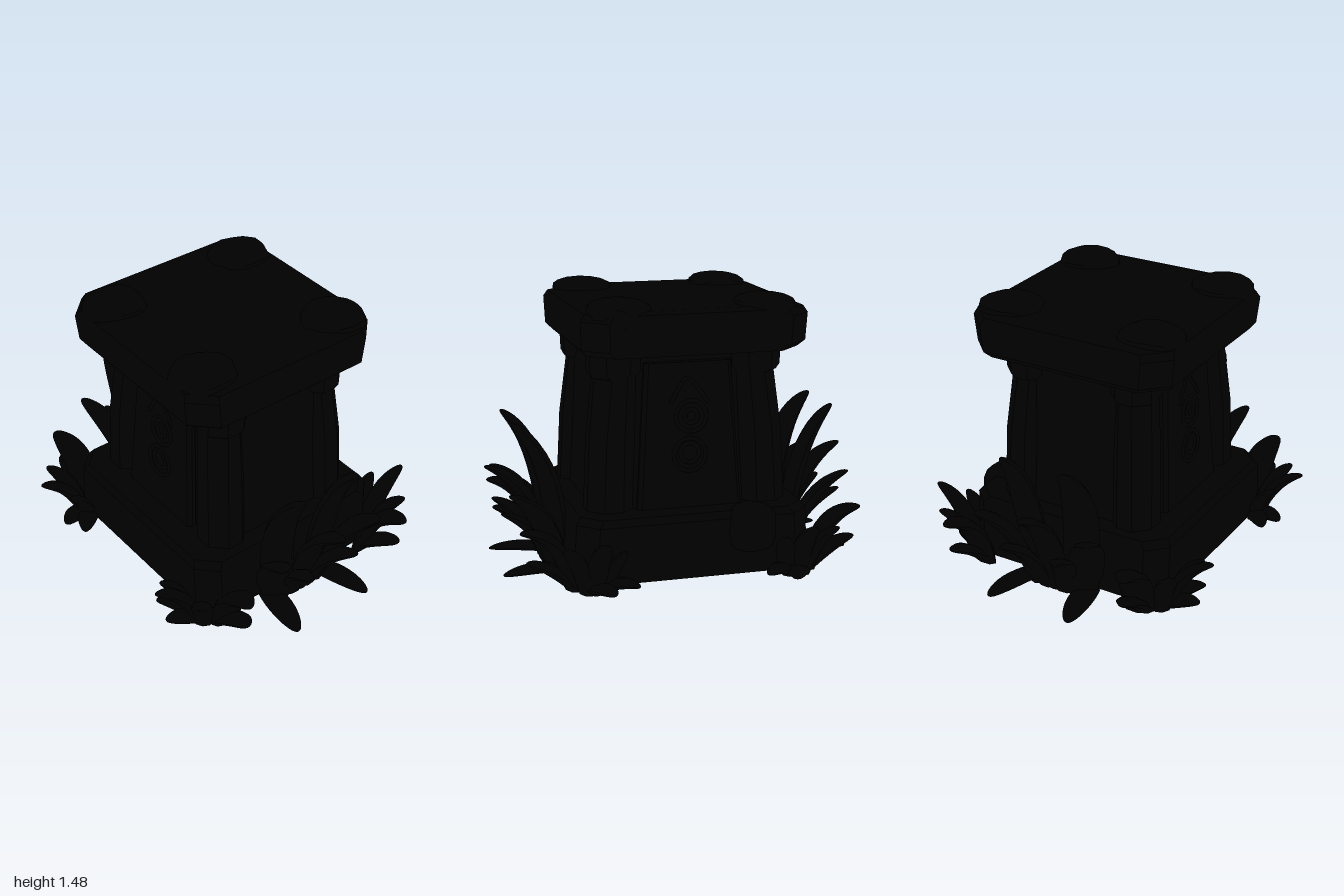
import * as THREE from 'three';
import { toCreasedNormals } from 'three/addons/utils/BufferGeometryUtils.js';

const stone = new THREE.MeshStandardMaterial({ color: 0x000000 });
stone.name = 'black stone';
const leaf = new THREE.MeshStandardMaterial({ color: 0x000000 });
leaf.name = 'black leaf';

// Closed skin over rings of points that run counterclockwise around the axis
function loft(rings, crease = 0.6) {
  const n = rings[0].length, pos = [], idx = [];
  rings.forEach(r => r.forEach(p => pos.push(p.x, p.y, p.z)));
  for (let i = 0; i < rings.length - 1; i++)
    for (let j = 0; j < n; j++) {
      const a = i * n + j, b = i * n + (j + 1) % n;
      idx.push(a, b, b + n, a, b + n, a + n);
    }
  const last = (rings.length - 1) * n;
  for (let j = 1; j < n - 1; j++) idx.push(0, j + 1, j, last, last + j, last + j + 1);
  const g = new THREE.BufferGeometry();
  g.setAttribute('position', new THREE.Float32BufferAttribute(pos, 3));
  g.setIndex(idx);
  return toCreasedNormals(g, crease);
}

// Block with cut corners; each level is [y, halfX, halfZ, centreX, centreZ]
function block(levels, cut) {
  return loft(levels.map(([y, hx, hz, cx = 0, cz = 0]) => {
    const corners = [[hx, cut - hz], [hx - cut, -hz], [cut - hx, -hz], [-hx, cut - hz],
      [-hx, hz - cut], [cut - hx, hz], [hx - cut, hz], [hx, hz - cut]];
    return corners.map(([x, z]) => new THREE.Vector3(cx + x, y, cz + z));
  }));
}

// Lumpy flat-topped rock with the given half sizes
function rock(hx, hy, hz, seed) {
  const g = new THREE.IcosahedronGeometry(1, 2), p = g.attributes.position;
  const v = new THREE.Vector3();
  for (let i = 0; i < p.count; i++) {
    v.fromBufferAttribute(p, i);
    const k = 1 + 0.07 * Math.sin(4 * v.x + seed) * Math.cos(3 * v.z - seed);
    p.setXYZ(i, v.x * hx * k, Math.sign(v.y) * Math.sqrt(Math.abs(v.y)) * hy, v.z * hz * k);
  }
  return toCreasedNormals(g, 0.6);
}

// Curved blunt leaf from base to tip, with a lens-shaped section
function blade(base, bend, tip, width, thick) {
  const curve = new THREE.QuadraticBezierCurve3(...[base, bend, tip].map(a => new THREE.Vector3(...a)));
  const side = new THREE.Vector3(tip[2] - base[2], 0, base[0] - tip[0]).normalize();
  const rings = [];
  for (let i = 0; i <= 14; i++) {
    const t = 1 - Math.pow(1 - i / 14, 2), p = curve.getPoint(t), along = curve.getTangent(t);
    const normal = along.clone().cross(side).normalize();
    const s = 0.02 + 0.98 * Math.pow(Math.max(0, Math.sin(Math.PI * (0.27 + 0.73 * t))), 0.5);
    const ring = [];
    for (let j = 0; j < 8; j++) {
      const a = j * Math.PI / 4;
      ring.push(p.clone()
        .addScaledVector(side, Math.cos(a) * width * s / 2)
        .addScaledVector(normal, Math.sin(a) * thick * s / 2));
    }
    rings.push(ring);
  }
  return loft(rings, 1.2);
}

export function createModel() {
  const model = new THREE.Group();
  const add = (name, geometry, material = stone, parent = model) => {
    const m = new THREE.Mesh(geometry, material);
    m.name = name;
    parent.add(m);
    return m;
  };

  // Plinth, tapered core and heavy cap
  add('plinth', block([[0.045, 0.62, 0.575], [0.08, 0.63, 0.588], [0.35, 0.615, 0.59], [0.385, 0.59, 0.565]], 0.1));
  add('core', block([[0.36, 0.49, 0.39], [1.22, 0.445, 0.35]], 0.1));
  add('cap', block([[1.2, 0.555, 0.545, -0.02], [1.235, 0.59, 0.57, -0.02], [1.38, 0.595, 0.585, -0.02],
    [1.415, 0.575, 0.57, -0.02], [1.43, 0.53, 0.53, -0.02]], 0.12));

  // Rounded corner columns, capitals and the stones on the cap
  for (const sx of [1, -1])
    for (const sz of [1, -1]) {
      add('column', block([[0.36, 0.125, 0.12, sx * 0.41, sz * 0.33], [0.75, 0.122, 0.118, sx * 0.395, sz * 0.322],
        [1.1, 0.115, 0.11, sx * 0.362, sz * 0.3]], 0.075));
      add('capital', block([[1.07, 0.115, 0.105, sx * 0.375, sz * 0.31], [1.1, 0.13, 0.12, sx * 0.375, sz * 0.31],
        [1.21, 0.135, 0.12, sx * 0.375, sz * 0.31]], 0.07));
      add('capStone', rock(0.165, 0.09, 0.175, sx + 2 * sz))
        .position.set(sx * 0.385 - 0.01, 1.395, sz * 0.41);
    }
  add('boulder', rock(0.13, 0.13, 0.12, 1)).position.set(-0.29, 0.29, -0.56);

  // Raised panels with carved rings and a peak, front and back
  for (const turn of [0, Math.PI]) {
    const face = new THREE.Group();
    face.name = 'carvedFace';
    face.rotation.y = turn;
    model.add(face);
    add('panel', block([[0.37, 0.28, 0.03, 0, 0.412], [1.14, 0.23, 0.03, 0, 0.367]], 0.02), stone, face);
    const carving = new THREE.Group();
    carving.name = 'carving';
    carving.position.set(0, 0.75, 0.42);
    carving.rotation.x = -0.058;
    face.add(carving);
    for (const [x, y, r] of [[0.01, 0.11, 0.08], [0.01, 0.11, 0.035], [0, -0.09, 0.085], [0, -0.08, 0.05]])
      add('ring', new THREE.TorusGeometry(r, 0.011, 6, 28), stone, carving).position.set(x, y, 0);
    const peak = new THREE.CatmullRomCurve3([[-0.1, 0.18], [-0.06, 0.25], [-0.01, 0.31], [0.05, 0.25], [0.1, 0.18]]
      .map(([x, y]) => new THREE.Vector3(x, y, 0)));
    add('peak', new THREE.TubeGeometry(peak, 20, 0.011, 6), stone, carving);
  }

  // Grass, mirrored to all four quarters: base, bend, tip, width, thickness
  const sideBlades = [
    [[0.64, 0.02, 0.12], [0.64, 0.64, 0.19], [0.88, 0.82, 0.175], 0.2, 0.1],
    [[0.65, 0.02, 0.15], [0.72, 0.4, 0.24], [0.92, 0.48, 0.33], 0.19, 0.08],
    [[0.67, 0.02, 0.07], [0.74, 0.27, 0.12], [0.94, 0.34, 0.16], 0.15, 0.07],
    [[0.62, 0.03, 0.17], [0.8, 0.06, 0.21], [0.95, 0.03, 0.24], 0.14, 0.045],
  ];
  const cornerBlades = [
    [[0.64, 0.02, 0.48], [0.7, 0.34, 0.5], [0.91, 0.34, 0.53], 0.19, 0.08],
    [[0.64, 0.03, 0.49], [0.76, 0.16, 0.5], [0.88, 0.18, 0.52], 0.15, 0.06],
    [[0.54, 0.02, 0.59], [0.54, 0.28, 0.67], [0.54, 0.34, 0.85], 0.12, 0.07],
    [[0.58, 0.02, 0.58], [0.63, 0.24, 0.62], [0.72, 0.29, 0.71], 0.12, 0.07],
    [[0.5, 0.02, 0.59], [0.45, 0.2, 0.62], [0.42, 0.27, 0.74], 0.11, 0.06],
    [[0.51, 0.03, 0.58], [0.43, 0.1, 0.63], [0.34, 0.07, 0.71], 0.12, 0.06],
    [[0.54, 0.03, 0.57], [0.52, 0.08, 0.66], [0.48, 0.05, 0.75], 0.13, 0.06],
  ];
  for (const sx of [1, -1]) {
    for (const sz of [1, -1])
      for (const [name, list] of [['sideBlade', sideBlades], ['cornerBlade', cornerBlades]])
        for (const [a, b, c, w, t] of list) {
          const [base, bend, tip] = [a, b, c].map(([x, y, z]) => [sx * x, y, sz * z]);
          add(name, blade(base, bend, tip, w, t), leaf);
        }
    add('middleBlade', blade([sx * 0.67, 0.02, 0], [sx * 0.73, 0.48, 0], [sx, 0.56, 0], 0.18, 0.08), leaf);
  }
  return model;
}
